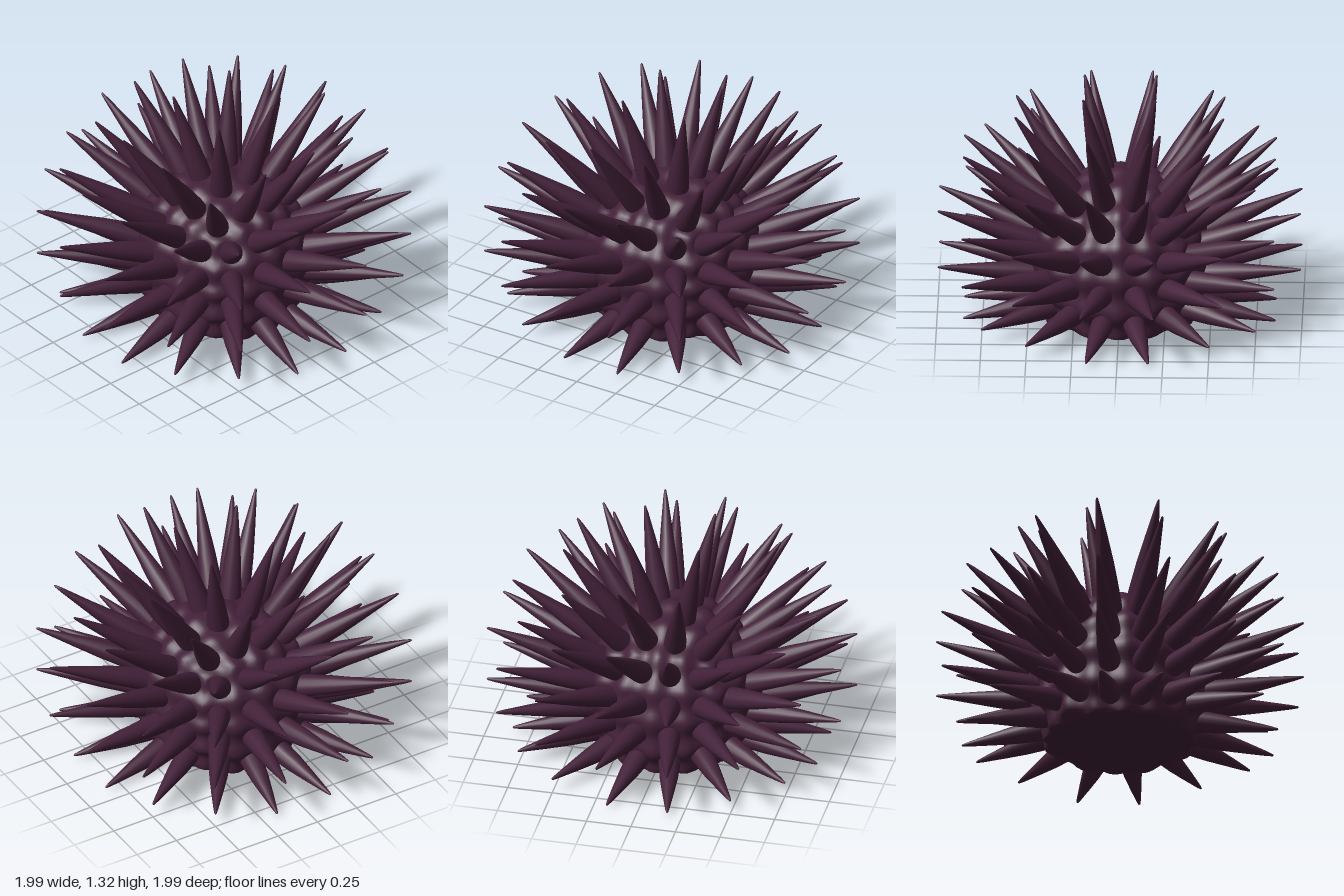
import * as THREE from 'three';
import { mergeVertices, toCreasedNormals } from 'three/addons/utils/BufferGeometryUtils.js';

const shell = new THREE.MeshStandardMaterial({ color: 0x44223a });
shell.name = 'dark plum';
const rim = new THREE.MeshStandardMaterial({ color: 0x5e555a });
rim.name = 'socket grey';

const CENTER_Y = 0.36;

// Place a unit direction on the body, with the underside spread out and flattened
function onBody(d, r) {
  const spread = d.y < 0 ? 1 + 0.27 * d.y * d.y : 1;
  const drop = d.y < 0 ? 1.06 : 0.98;
  return new THREE.Vector3(d.x * r * spread, Math.max(0.004, CENTER_Y + d.y * r * drop), d.z * r * spread);
}

// A cube point mapped to a sphere by equal angles
function sphereDir(p) {
  const t = (v) => Math.tan(v * Math.PI / 4);
  return new THREE.Vector3(t(p.x), t(p.y), t(p.z)).normalize();
}

// Rounded body with a dimple under every spine
function makeBody() {
  let geo = new THREE.BoxGeometry(2, 2, 2, 40, 40, 40);
  geo.deleteAttribute('uv');
  geo.deleteAttribute('normal');
  geo = mergeVertices(geo);
  const pos = geo.attributes.position;
  const p = new THREE.Vector3();
  const wave = (v) => Math.cos(4 * Math.PI * v);
  for (let i = 0; i < pos.count; i++) {
    p.fromBufferAttribute(pos, i);
    const r = 0.487 + 0.011 * (wave(p.x) + wave(p.y) + wave(p.z) - 1);
    const q = onBody(sphereDir(p), r);
    pos.setXYZ(i, q.x, q.y, q.z);
  }
  const mesh = new THREE.Mesh(toCreasedNormals(geo, 0.7), shell);
  mesh.name = 'body';
  return mesh;
}

export function createModel() {
  const model = new THREE.Group();
  model.name = 'seaUrchin';
  model.add(makeBody());

  // Tapered spine of unit length
  const profile = [[0.063, 0], [0.061, 0.15], [0.05, 0.4], [0.033, 0.65], [0.013, 0.92], [0.006, 0.99], [0, 1]];
  const spineGeo = new THREE.LatheGeometry(profile.map(([r, y]) => new THREE.Vector2(r, y)), 16);
  const ringGeo = new THREE.TorusGeometry(0.066, 0.005, 6, 20).rotateX(Math.PI / 2);
  const up = new THREE.Vector3(0, 1, 0);

  function addSpine(p) {
    const d = sphereDir(p);
    const edge = [p.x, p.y, p.z].filter((v) => Math.abs(v) > 0.7).length === 2;
    const reach = edge ? 1.045 : 1.035;
    const tip = new THREE.Vector3(d.x * reach, 0.505 + d.y * reach * 0.825, d.z * reach);
    const base = onBody(d, 0.43);
    const seat = onBody(d, 0.468);
    const along = tip.clone().sub(base);

    const spine = new THREE.Mesh(spineGeo, shell);
    spine.name = 'spine';
    spine.position.copy(base);
    spine.scale.y = along.length();
    spine.quaternion.setFromUnitVectors(up, along.normalize());
    model.add(spine);

    // Thin socket rim around the spine
    const ring = new THREE.Mesh(ringGeo, rim);
    ring.name = 'socketRim';
    ring.position.copy(seat);
    ring.quaternion.setFromUnitVectors(up, d);
    if (seat.y > 0.15) model.add(ring);
  }

  // Four by four spines on the top and on each of the four sides
  const steps = [-0.75, -0.25, 0.25, 0.75];
  for (const a of steps) {
    for (const b of steps) {
      addSpine(new THREE.Vector3(a, 1, b));
      for (const s of [-1, 1]) {
        addSpine(new THREE.Vector3(s, a, b));
        addSpine(new THREE.Vector3(b, a, s));
      }
    }
  }
  return model;
}
